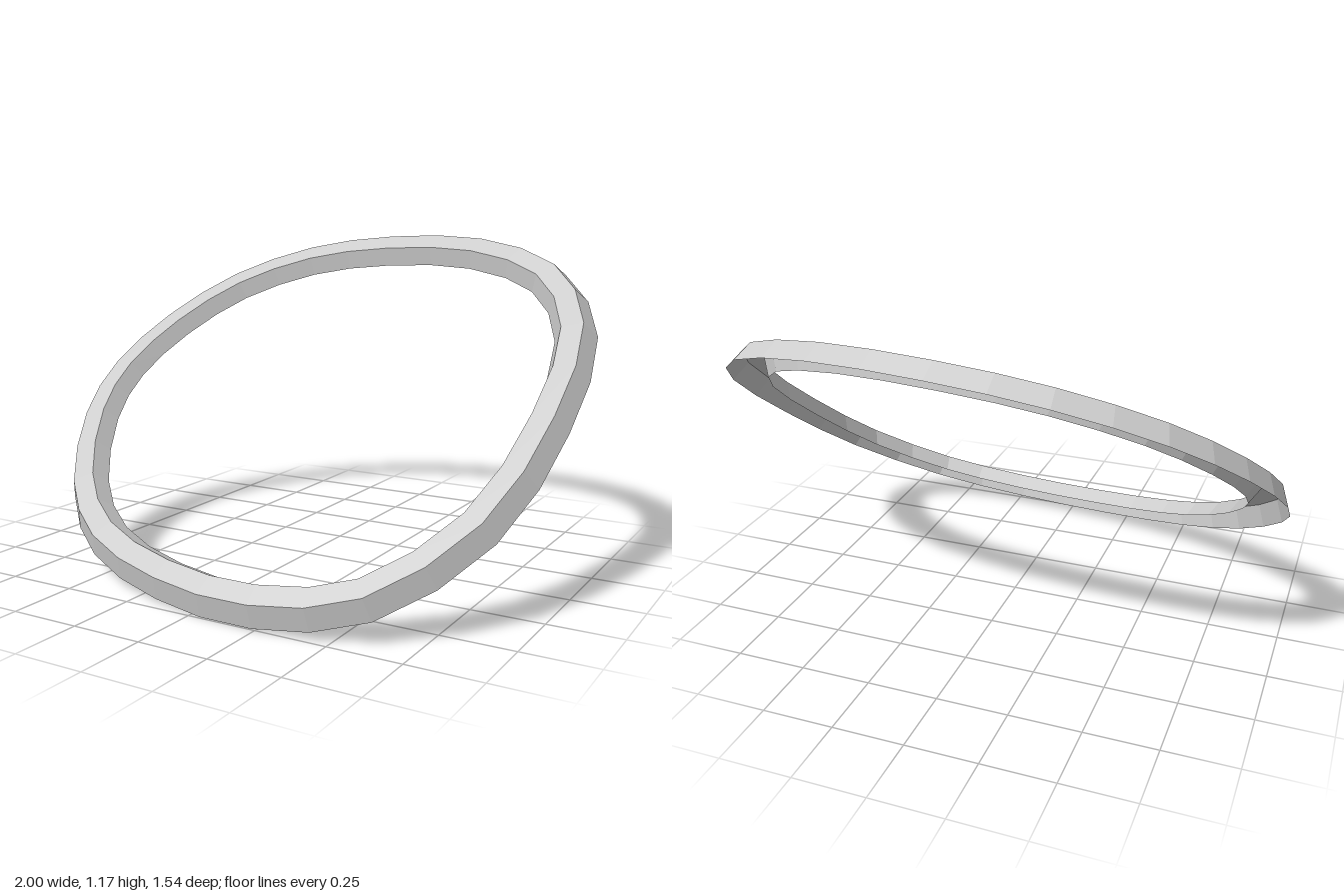
import * as THREE from 'three';

const SEGMENTS = 32;

export function createModel() {
  const group = new THREE.Group();
  group.name = 'tiltedRing';

  // Tilted plane of the ring's lower outer edge
  const planeY = (x, z) => 0.065 * x - 0.741 * z;
  const normal = new THREE.Vector3(-0.065, 1, 0.741).normalize();

  // Uneven oval outline (x, z) of the lower outer edge, clockwise from the back
  const outline = [
    [0, -0.77], [0.41, -0.73], [0.765, -0.58], [0.97, -0.305],
    [0.995, 0.06], [0.9, 0.43], [0.62, 0.69], [0.24, 0.755],
    [-0.16, 0.71], [-0.52, 0.595], [-0.78, 0.4], [-0.963, 0.11],
    [-1, -0.14], [-0.9, -0.385], [-0.69, -0.6], [-0.374, -0.733],
  ].map(([x, z]) => new THREE.Vector3(x, planeY(x, z), z));
  const path = new THREE.CatmullRomCurve3(outline, true, 'catmullrom', 0.5);

  // Channel section, open underneath: [distance inward, height above the plane]
  const section = [[0, 0], [0.034, 0.075], [0.111, 0.075], [0.145, 0.012]];
  const count = section.length;

  const positions = [];
  const index = [];
  for (let i = 0; i < SEGMENTS; i++) {
    const point = path.getPoint(i / SEGMENTS);
    const inward = path.getTangent(i / SEGMENTS).cross(normal).normalize();
    for (const [depth, height] of section) {
      const p = point.clone().addScaledVector(inward, depth).addScaledVector(normal, height);
      positions.push(p.x, p.y, p.z);
    }
    // Outer wall, top band and inner wall
    const next = (i + 1) % SEGMENTS;
    for (let k = 0; k < count - 1; k++) {
      const a = i * count + k, d = next * count + k;
      index.push(a, a + 1, d + 1, a, d + 1, d);
    }
  }

  const geometry = new THREE.BufferGeometry();
  geometry.setAttribute('position', new THREE.Float32BufferAttribute(positions, 3));
  geometry.setIndex(index);

  // Rest the ring on the floor, centred
  geometry.computeBoundingBox();
  const { min, max } = geometry.boundingBox;
  geometry.translate(-(min.x + max.x) / 2, -min.y, -(min.z + max.z) / 2);
  geometry.computeVertexNormals();

  const ring = new THREE.Mesh(
    geometry,
    new THREE.MeshStandardMaterial({
      color: 0xcccccc, flatShading: true, side: THREE.DoubleSide,
    })
  );
  ring.name = 'ring';
  group.add(ring);
  return group;
}
